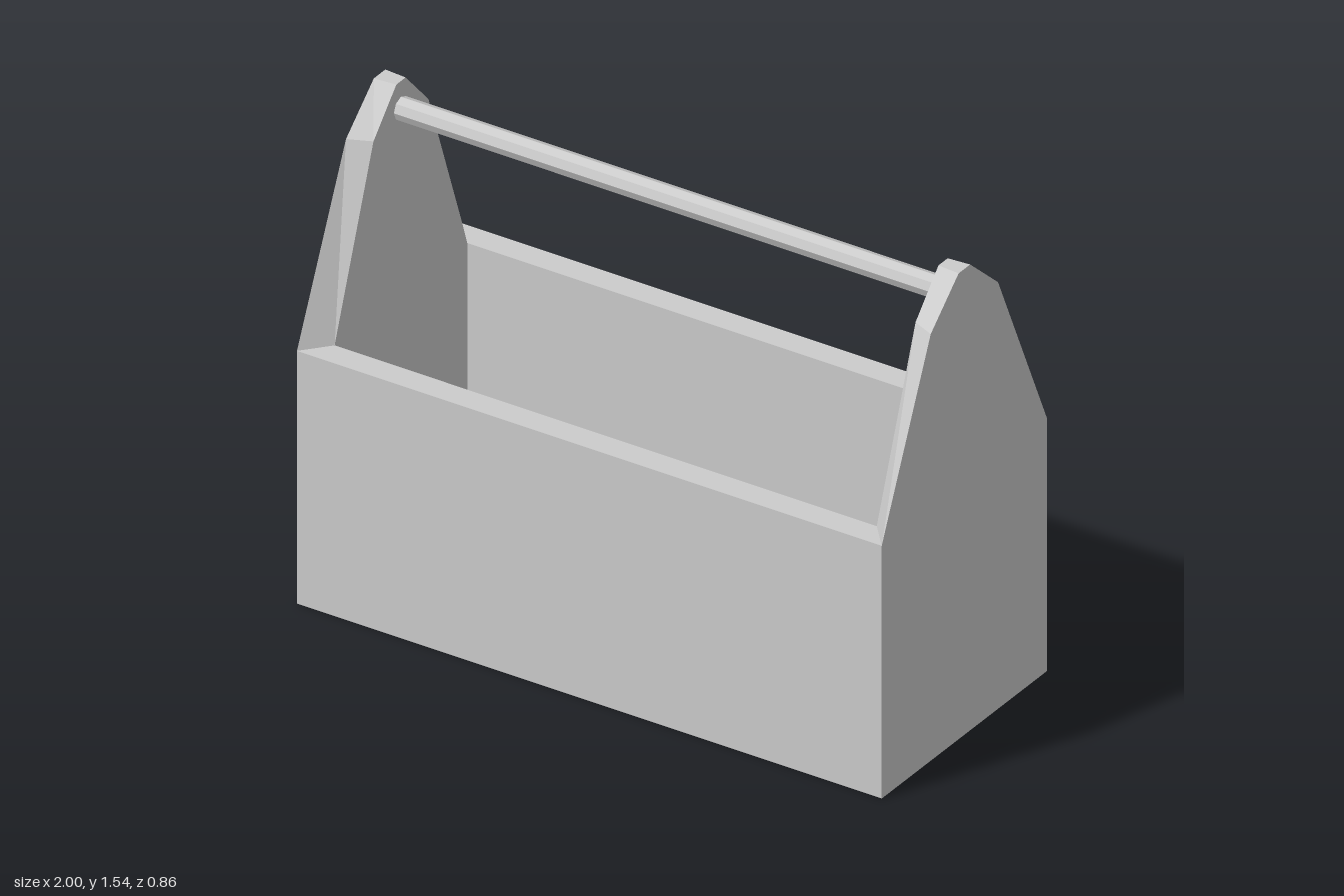
import * as THREE from 'three';

const material = new THREE.MeshStandardMaterial({ color: 0xcccccc, flatShading: true });

// Solid board between two matching convex loops, counter-clockwise seen from outside
function board(outer, inner) {
  const positions = [];
  const tri = (a, b, c) => positions.push(...a, ...b, ...c);
  const n = outer.length;
  for (let i = 1; i < n - 1; i++) {
    tri(outer[0], outer[i], outer[i + 1]);
    tri(inner[0], inner[i + 1], inner[i]);
  }
  for (let i = 0; i < n; i++) {
    const j = (i + 1) % n;
    tri(outer[j], outer[i], inner[i]);
    tri(outer[j], inner[i], inner[j]);
  }
  const geometry = new THREE.BufferGeometry();
  geometry.setAttribute('position', new THREE.Float32BufferAttribute(positions, 3));
  geometry.computeVertexNormals();
  return geometry;
}

export function createModel() {
  const group = new THREE.Group();
  const add = (name, geometry, y = 0, turn = 0) => {
    const mesh = new THREE.Mesh(geometry, material);
    mesh.name = name;
    mesh.position.y = y;
    mesh.rotation.y = turn;
    group.add(mesh);
    return mesh;
  };

  const X = 1, Z = 0.43, innerX = 0.927, innerZ = 0.345, rim = 0.838;

  // Tall end boards: half widths at each height, edges bevelled inwards
  const endLoop = (x, widths) => {
    const heights = [0, rim, 1.415, 1.545];
    const back = heights.map((y, i) => [x, y, -widths[i]]);
    const front = heights.map((y, i) => [x, y, widths[i]]).reverse();
    return [...back, ...front];
  };
  const end = board(
    endLoop(X, [Z, Z, 0.175, 0.03]),
    endLoop(innerX, [innerZ, innerZ, 0.143, 0.024])
  );
  add('leftEnd', end);
  add('rightEnd', end, 0, Math.PI);

  // Long walls, mitred into the ends
  const wallLoop = (x, z) => [[-x, 0, z], [x, 0, z], [x, rim, z], [-x, rim, z]];
  const wall = board(wallLoop(X, Z), wallLoop(innerX, innerZ));
  add('frontWall', wall);
  add('backWall', wall, 0, Math.PI);

  // Floor panel
  const floorHeight = 0.08;
  add('floor', new THREE.BoxGeometry(innerX * 2, floorHeight, innerZ * 2), floorHeight / 2);

  // Eight-sided carrying bar
  const bar = new THREE.CylinderGeometry(0.037, 0.037, innerX * 2, 8);
  bar.rotateZ(Math.PI / 2);
  add('handle', bar, 1.456);

  return group;
}
